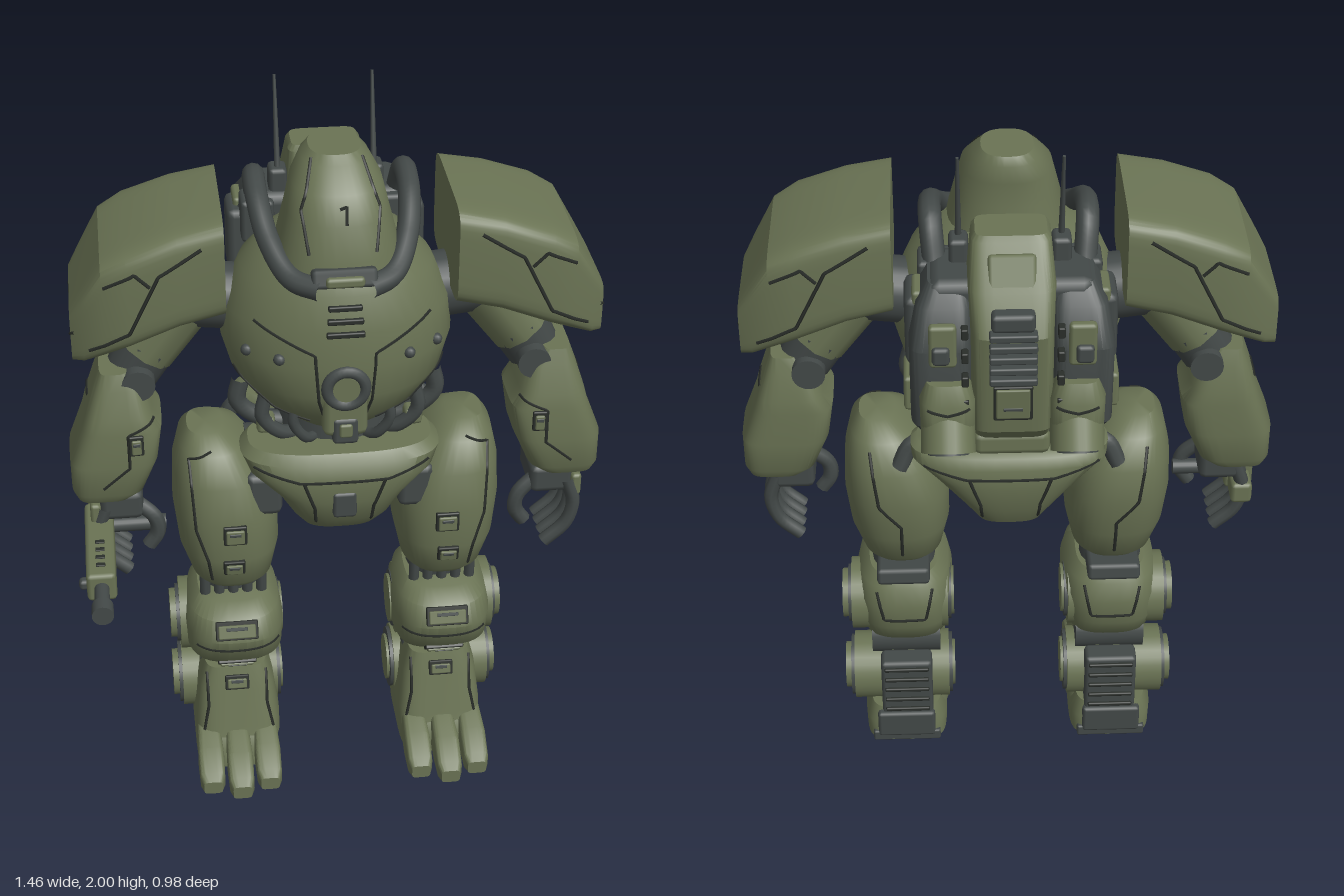
import * as THREE from 'three';
import { toCreasedNormals } from 'three/addons/utils/BufferGeometryUtils.js';
import { RoundedBoxGeometry } from 'three/addons/geometries/RoundedBoxGeometry.js';

const V = (x, y, z) => new THREE.Vector3(x, y, z);
const material = (name, color) => Object.assign(new THREE.MeshStandardMaterial({ color }), { name });

export function createModel() {
  const olive = material('olive armour', 0x6a7354);
  const steel = material('dark frame', 0x434948);
  const black = material('seam black', 0x2a2e2a);
  const root = new THREE.Group();
  root.name = 'walker';

  const add = (parent, name, geo, mat, x = 0, y = 0, z = 0) => {
    const m = new THREE.Mesh(geo, mat);
    m.name = name;
    m.position.set(x, y, z);
    parent.add(m);
    return m;
  };
  const box = (p, name, mat, x, y, z, w, h, d, r = 0.012) =>
    add(p, name, new RoundedBoxGeometry(w, h, d, 1, Math.min(r, w / 3, h / 3, d / 3)), mat, x, y, z);
  // Cylinder between two points
  const rod = (p, name, mat, a, b, r0, r1 = r0, seg = 20) => {
    const m = add(p, name, new THREE.CylinderGeometry(r1, r0, a.distanceTo(b), seg), mat);
    m.position.copy(a).lerp(b, 0.5);
    m.quaternion.setFromUnitVectors(V(0, 1, 0), b.clone().sub(a).normalize());
    return m;
  };
  const tube = (p, name, mat, pts, r, seg = 24, sides = 10) =>
    add(p, name, new THREE.TubeGeometry(new THREE.CatmullRomCurve3(pts), seg, r, sides), mat);

  // Superellipse rings [t, centreA, centreB, halfA, halfB] skinned along an axis
  const loft = (p, name, mat, axis, n, rings, crease = 0.7) => {
    const seg = 40, pos = [], idx = [];
    const put = (t, a, b) => pos.push(...(axis === 'y' ? [a, t, b] : axis === 'x' ? [t, a, b] : [a, b, t]));
    const pw = (c) => Math.sign(c) * Math.abs(c) ** (2 / n);
    for (const [t, a, b, ha, hb] of rings) for (let i = 0; i < seg; i++) {
      const q = ((i + 0.5) / seg) * Math.PI * 2;
      put(t, a + ha * pw(Math.cos(q)), b + hb * pw(Math.sin(q)));
    }
    const last = rings.length - 1, c0 = rings.length * seg;
    put(...rings[0]);
    put(...rings[last]);
    const tri = (a, b, c) => (axis === 'y' ? idx.push(a, c, b) : idx.push(a, b, c));
    for (let i = 0; i < seg; i++) {
      const j = (i + 1) % seg;
      for (let k = 0; k < last; k++) {
        const o = k * seg, u = o + seg;
        tri(o + i, o + j, u + j);
        tri(o + i, u + j, u + i);
      }
      tri(c0, j, i);
      tri(c0 + 1, last * seg + i, last * seg + j);
    }
    const g = new THREE.BufferGeometry();
    g.setAttribute('position', new THREE.Float32BufferAttribute(pos, 3));
    g.setIndex(idx);
    return add(p, name, toCreasedNormals(g, crease), mat);
  };

  // Find a surface point seen from one direction
  const dirs = { front: V(0, 0, 1), back: V(0, 0, -1), side: V(1, 0, 0) };
  const hit = (mesh, dir, u, v) => {
    mesh.updateMatrixWorld();
    const d = dirs[dir], o = (dir === 'side' ? V(0, v, u) : V(u, v, 0)).addScaledVector(d, 2);
    return new THREE.Raycaster(o, d.clone().negate()).intersectObject(mesh)[0];
  };
  // Panel line draped over a part
  const seam = (mesh, dir, path, r = 0.005) => {
    const pts = [];
    for (let i = 0; i < path.length - 1; i++) for (let k = 0; k < 8; k++) {
      const [a, b] = [path[i], path[i + 1]], f = k / 7.5;
      const h = hit(mesh, dir, a[0] + (b[0] - a[0]) * f, a[1] + (b[1] - a[1]) * f);
      if (h) pts.push(h.point);
    }
    if (pts.length > 2) tube(mesh.parent, 'panelLine', black, pts, r, pts.length * 2, 4);
  };
  // Small framed hatch lying on a part
  const hatch = (mesh, dir, u, v, w, h) => {
    const s = hit(mesh, dir, u, v);
    if (!s) return;
    const g = new THREE.Group();
    g.name = 'hatch';
    g.position.copy(s.point);
    g.quaternion.setFromUnitVectors(V(0, 0, 1), s.face.normal);
    mesh.parent.add(g);
    box(g, 'hatchFrame', black, 0, 0, 0, w, h, 0.016, 0.004);
    box(g, 'hatchLid', olive, 0, -0.002, 0.005, w - 0.014, h - 0.016, 0.018, 0.004);
    box(g, 'hatchSlot', steel, 0, h * 0.12, 0.01, w * 0.5, 0.01, 0.012, 0.002);
  };

  // Torso
  const torso = loft(root, 'torso', olive, 'y', 2.1, [
    [1.13, 0, 0.03, 0.1, 0.11], [1.18, 0, 0.03, 0.16, 0.17], [1.24, 0, 0.03, 0.235, 0.225], [1.31, 0, 0.03, 0.285, 0.25],
    [1.4, 0, 0.03, 0.31, 0.255], [1.5, 0, 0.03, 0.3, 0.245], [1.6, 0, 0.03, 0.255, 0.225], [1.66, 0, 0.03, 0.2, 0.19], [1.71, 0, 0.03, 0.12, 0.14]]);
  for (const s of [1, -1]) {
    seam(torso, 'front', [[s * 0.23, 1.51], [s * 0.08, 1.44], [s * 0.07, 1.3], [s * 0.05, 1.22]]);
    seam(torso, 'front', [[s * 0.28, 1.33], [s * 0.18, 1.24], [s * 0.08, 1.2]]);
    for (const x of [0.17, 0.25]) {
      const h = hit(torso, 'front', s * x, 1.42).point;
      add(root, 'chestBolt', new THREE.SphereGeometry(0.016, 10, 8), steel, h.x, h.y, h.z);
    }
  }
  box(root, 'chestHousing', olive, 0, 1.3, 0.25, 0.12, 0.22, 0.06, 0.02);
  add(root, 'chestRing', new THREE.TorusGeometry(0.05, 0.016, 10, 28), steel, 0, 1.345, 0.285);
  rod(root, 'chestPort', olive, V(0, 1.345, 0.26), V(0, 1.345, 0.295), 0.036);
  box(root, 'chestLatch', steel, 0, 1.21, 0.265, 0.07, 0.08, 0.04);
  box(root, 'chestLatchLid', olive, 0, 1.215, 0.282, 0.035, 0.04, 0.02);
  for (let i = 0; i < 3; i++) {
    const y = 1.5 + i * 0.035;
    box(root, 'chestSlot', black, 0, y, hit(torso, 'front', 0, y).point.z, 0.1 - i * 0.006, 0.015, 0.018, 0.004);
  }

  // Head
  const head = loft(root, 'head', olive, 'y', 2.5, [
    [1.6, 0, 0.06, 0.175, 0.175], [1.68, 0, 0.06, 0.158, 0.168], [1.77, 0, 0.055, 0.135, 0.147], [1.84, 0, 0.04, 0.118, 0.13],
    [1.89, 0, 0.005, 0.088, 0.098], [1.912, 0, 0, 0.068, 0.078]]);
  for (const s of [1, -1]) seam(head, 'front', [[s * 0.065, 1.9], [s * 0.1, 1.8], [s * 0.085, 1.69]]);
  seam(head, 'front', [[-0.005, 1.81], [0.012, 1.815], [0.01, 1.77]]);
  box(root, 'jaw', steel, 0, 1.645, 0.235, 0.17, 0.05, 0.05).rotation.x = -0.3;
  box(root, 'jawGuard', olive, 0, 1.645, 0.255, 0.1, 0.028, 0.035);

  // Waist and pelvis: dark core with armour skirts front and back
  rod(root, 'waist', steel, V(0, 1.02, 0), V(0, 1.2, 0), 0.17, 0.16);
  loft(root, 'pelvisCore', steel, 'y', 3, [
    [0.855, 0, 0, 0.1, 0.11], [0.93, 0, 0, 0.14, 0.18], [1.02, 0, 0, 0.2, 0.19], [1.085, 0, 0, 0.23, 0.19]]);
  const frontSkirt = loft(root, 'frontSkirt', olive, 'y', 2.8, [
    [0.845, 0, 0.12, 0.105, 0.075], [0.9, 0, 0.15, 0.135, 0.095], [0.97, 0, 0.165, 0.175, 0.1],
    [1.04, 0, 0.15, 0.25, 0.12], [1.085, 0, 0.125, 0.272, 0.135], [1.11, 0, 0.12, 0.25, 0.115]]);
  const backSkirt = loft(root, 'backSkirt', olive, 'y', 2.8, [
    [0.87, 0, -0.18, 0.085, 0.05], [0.93, 0, -0.185, 0.125, 0.075], [1.01, 0, -0.17, 0.2, 0.1],
    [1.07, 0, -0.155, 0.265, 0.115], [1.1, 0, -0.15, 0.268, 0.105], [1.115, 0, -0.145, 0.25, 0.09]]);
  for (const [skirt, d] of [[frontSkirt, 'front'], [backSkirt, 'back']]) {
    seam(skirt, d, [[-0.24, 1.07], [-0.12, 1.04], [0.12, 1.04], [0.24, 1.07]]);
    for (const s of [1, -1]) seam(skirt, d, [[s * 0.11, 1.04], [s * 0.08, 0.95], [s * 0.075, 0.89]]);
  }
  box(root, 'pelvisLatch', steel, 0, 0.965, 0.258, 0.065, 0.08, 0.03);

  // Backpack core and centre column
  box(root, 'packCore', steel, 0, 1.45, -0.24, 0.42, 0.5, 0.2, 0.03);
  const column = loft(root, 'packColumn', olive, 'y', 6, [
    [1.2, 0, -0.25, 0.09, 0.07], [1.3, 0, -0.28, 0.105, 0.13], [1.6, 0, -0.3, 0.105, 0.145], [1.7, 0, -0.28, 0.11, 0.115],
    [1.8, 0, -0.25, 0.1, 0.065], [1.815, 0, -0.25, 0.09, 0.055]], 0.5);
  box(root, 'packLid', olive, 0, 1.735, -0.355, 0.12, 0.1, 0.03).rotation.x = 0.5;
  hatch(column, 'back', 0, 1.4, 0.1, 0.11);
  box(root, 'packTopBlock', steel, 0, 1.645, -0.425, 0.11, 0.05, 0.05);
  for (let i = 0; i < 5; i++) box(root, 'packVent', steel, 0, 1.485 + i * 0.032, -0.445, 0.12, 0.02, 0.04, 0.005);
  box(root, 'packFoot', olive, 0, 1.23, -0.3, 0.2, 0.07, 0.14, 0.02);

  // Everything paired is built on the left, then mirrored
  const left = new THREE.Group();
  left.name = 'leftSide';
  root.add(left);

  // Backpack pods: dark upper body over an olive nozzle housing
  loft(left, 'packPod', steel, 'y', 5, [
    [1.22, 0.17, -0.24, 0.06, 0.07], [1.3, 0.18, -0.27, 0.08, 0.11], [1.54, 0.18, -0.29, 0.08, 0.115],
    [1.64, 0.17, -0.27, 0.07, 0.095], [1.69, 0.16, -0.255, 0.05, 0.07]], 0.5);
  const housing = loft(left, 'nozzleHousing', olive, 'y', 3.5, [
    [1.2, 0.165, -0.3, 0.06, 0.06], [1.28, 0.165, -0.35, 0.07, 0.09], [1.4, 0.165, -0.36, 0.072, 0.085], [1.45, 0.165, -0.36, 0.055, 0.06]]);
  seam(housing, 'back', [[0.11, 1.39], [0.165, 1.375], [0.22, 1.39]]);
  box(left, 'podPlate', olive, 0.175, 1.56, -0.4, 0.07, 0.12, 0.03);
  box(left, 'podBlock', steel, 0.18, 1.54, -0.415, 0.045, 0.05, 0.03);
  box(left, 'podSide', steel, 0.24, 1.54, -0.24, 0.06, 0.2, 0.14, 0.025);
  box(left, 'podFin', olive, 0.262, 1.36, -0.26, 0.03, 0.1, 0.12);
  box(left, 'podTopTrim', olive, 0.235, 1.63, -0.26, 0.03, 0.06, 0.1);
  rod(left, 'nozzle', olive, V(0.165, 1.37, -0.36), V(0.165, 1.255, -0.43), 0.068, 0.07, 24);
  rod(left, 'nozzleMouth', steel, V(0.165, 1.265, -0.424), V(0.165, 1.25, -0.433), 0.053, 0.053, 24);
  for (let i = 0; i < 4; i++) box(left, 'podClip', black, 0.12, 1.4 + i * 0.07, -0.42, 0.018, 0.03, 0.03, 0.004);
  box(left, 'antennaBase', steel, 0.13, 1.72, -0.2, 0.05, 0.08, 0.07);
  rod(left, 'antenna', steel, V(0.13, 1.72, -0.185), V(0.13, 2, -0.245), 0.009, 0.004, 8);

  // Neck hose and waist hoses
  tube(left, 'neckHose', steel, [V(0.19, 1.66, -0.2), V(0.2, 1.77, -0.13), V(0.2, 1.76, -0.02), V(0.18, 1.69, 0.1), V(0.13, 1.63, 0.2), V(0.06, 1.62, 0.25)], 0.03, 40, 12);
  box(left, 'hoseSocket', steel, 0.19, 1.63, -0.17, 0.09, 0.12, 0.1);
  for (const [x, z, r] of [[0.26, 0.06, 0.025], [0.2, 0.15, 0.02], [0.22, -0.1, 0.025], [0.12, 0.19, 0.015]])
    tube(left, 'waistHose', steel, [V(x, 1.26, z), V(x + 0.01, 1.19, z), V(x * 0.8, 1.13, z * 0.9), V(x * 0.55, 1.11, z * 0.7)], r, 16, 8);
  box(left, 'waistClamp', olive, 0.2, 1.16, 0.13, 0.05, 0.05, 0.05);

  // Shoulder pad
  const pad = loft(left, 'shoulderPad', olive, 'x', 7, [
    [0.3, 1.655, 0, 0.135, 0.205], [0.42, 1.63, 0, 0.137, 0.21], [0.55, 1.583, 0, 0.14, 0.213],
    [0.615, 1.55, -0.002, 0.135, 0.2], [0.67, 1.488, -0.005, 0.1, 0.175], [0.702, 1.455, -0.01, 0.075, 0.15]], 0.45);
  for (const d of ['front', 'back']) {
    seam(pad, d, [[0.655, 1.44], [0.55, 1.5], [0.52, 1.56], [0.47, 1.66], [0.35, 1.735]]);
    seam(pad, d, [[0.61, 1.63], [0.53, 1.67], [0.49, 1.63]]);
  }
  seam(pad, 'side', [[0.15, 1.48], [0.05, 1.42], [-0.1, 1.43], [-0.14, 1.48]]);

  // Arm
  rod(left, 'shoulderJoint', steel, V(0.25, 1.48, 0), V(0.42, 1.5, 0), 0.09);
  rod(left, 'upperArm', olive, V(0.37, 1.53, 0), V(0.515, 1.34, 0), 0.09, 0.088, 10);
  rod(left, 'elbowCuff', steel, V(0.5, 1.36, 0), V(0.55, 1.27, 0), 0.085, 0.075, 16);
  rod(left, 'elbowAxle', steel, V(0.535, 1.28, -0.1), V(0.535, 1.28, 0.11), 0.045);
  const forearm = loft(left, 'forearm', olive, 'y', 4.5, [
    [0.93, 0.645, 0.025, 0.075, 0.105], [0.96, 0.632, 0.025, 0.1, 0.122], [1.05, 0.612, 0.025, 0.12, 0.126], [1.15, 0.585, 0.022, 0.108, 0.125],
    [1.19, 0.592, 0.02, 0.09, 0.12], [1.27, 0.59, 0.015, 0.065, 0.1], [1.315, 0.6, 0.015, 0.038, 0.085]]);
  seam(forearm, 'front', [[0.5, 1.18], [0.57, 1.15], [0.57, 1.05], [0.65, 0.98]]);
  seam(forearm, 'side', [[0.04, 1.22], [-0.06, 1.215]]);
  hatch(forearm, 'front', 0.55, 1.12, 0.04, 0.06);

  // Hand
  box(left, 'palm', steel, 0.6, 0.905, 0.04, 0.12, 0.09, 0.17, 0.02);
  box(left, 'knucklePlate', olive, 0.672, 0.88, 0.1, 0.03, 0.07, 0.05);
  for (let i = 0; i < 4; i++) {
    const z = -0.025 + i * 0.046;
    tube(left, 'finger', steel, [V(0.645, 0.9, z), V(0.668, 0.82, z), V(0.65, 0.75, z), V(0.59, 0.69, z)], 0.02, 16, 8);
  }
  tube(left, 'thumb', steel, [V(0.56, 0.9, 0.09), V(0.51, 0.85, 0.1), V(0.505, 0.8, 0.1), V(0.53, 0.76, 0.1)], 0.022, 14, 8);

  // Thigh and hip
  rod(left, 'hipJoint', steel, V(0.1, 0.96, 0), V(0.25, 0.96, 0), 0.1);
  box(left, 'hipActuator', steel, 0.21, 0.94, 0.12, 0.1, 0.13, 0.1, 0.02);
  tube(left, 'hipHose', steel, [V(0.15, 1.06, -0.14), V(0.26, 1.07, -0.13), V(0.3, 1, -0.14)], 0.025, 14, 8);
  const thigh = loft(left, 'thigh', olive, 'y', 2.6, [
    [0.63, 0.3, 0.03, 0.09, 0.12], [0.66, 0.3, 0.03, 0.115, 0.15], [0.75, 0.305, 0.025, 0.14, 0.175], [0.87, 0.312, 0.015, 0.146, 0.185],
    [0.98, 0.325, 0.01, 0.128, 0.175], [1.06, 0.345, 0.01, 0.09, 0.13], [1.1, 0.36, 0.01, 0.05, 0.07]]);
  seam(thigh, 'front', [[0.35, 1.07], [0.41, 1.05], [0.405, 0.95], [0.4, 0.85], [0.37, 0.75], [0.36, 0.67]]);
  seam(thigh, 'back', [[0.38, 1.04], [0.36, 0.88], [0.3, 0.8], [0.3, 0.67]]);
  hatch(thigh, 'front', 0.295, 0.84, 0.065, 0.06);
  hatch(thigh, 'front', 0.3, 0.73, 0.06, 0.05);

  // Knee
  rod(left, 'kneeCore', steel, V(0.3, 0.53, 0), V(0.3, 0.66, 0.02), 0.09);
  for (let i = 0; i < 5; i++) rod(left, 'kneeCable', steel, V(0.22 + i * 0.04, 0.55, 0.1), V(0.22 + i * 0.04, 0.66, 0.11), 0.015, 0.015, 8);
  box(left, 'kneeFlap', steel, 0.3, 0.61, -0.1, 0.15, 0.05, 0.11).rotation.x = 0.15;
  const shin = loft(left, 'kneeArmour', olive, 'y', 3, [
    [0.32, 0.3, 0.01, 0.09, 0.08], [0.35, 0.3, 0.02, 0.12, 0.12], [0.41, 0.3, 0.04, 0.138, 0.17], [0.49, 0.3, 0.05, 0.14, 0.185],
    [0.55, 0.3, 0.045, 0.128, 0.165], [0.58, 0.3, 0.03, 0.1, 0.125]]);
  hatch(shin, 'front', 0.3, 0.525, 0.12, 0.055);
  hatch(shin, 'front', 0.3, 0.385, 0.11, 0.045);
  seam(shin, 'front', [[0.18, 0.46], [0.3, 0.455], [0.42, 0.46]]);
  seam(shin, 'back', [[0.22, 0.54], [0.24, 0.44], [0.36, 0.44], [0.38, 0.54]]);

  // Ankle and wheel-like hubs
  const ankle = loft(left, 'ankleArmour', olive, 'y', 4.5, [
    [0.08, 0.3, 0.04, 0.125, 0.15], [0.13, 0.3, 0.035, 0.125, 0.14], [0.25, 0.3, 0.03, 0.11, 0.12], [0.32, 0.3, 0.03, 0.09, 0.1]]);
  for (const x of [0.215, 0.385]) seam(ankle, 'front', [[x, 0.3], [x, 0.2], [x + (x - 0.3) * 0.2, 0.11]]);
  hatch(ankle, 'front', 0.3, 0.275, 0.07, 0.045);
  rod(left, 'ankleJoint', steel, V(0.2, 0.32, -0.02), V(0.4, 0.32, -0.02), 0.07);
  for (const [y, z, r, ring, centre] of [[0.44, 0.005, 0.105, 0.8, 0.68], [0.19, -0.03, 0.1, 0.9, 0.68]]) {
    rod(left, 'hub', olive, V(0.175, y, z), V(0.455, y, z), r, r, 28);
    rod(left, 'hubRing', steel, V(0.165, y, z), V(0.465, y, z), r * ring, r * ring, 28);
    rod(left, 'hubCentre', olive, V(0.157, y, z), V(0.482, y, z), r * centre, r * centre, 28);
  }
  box(left, 'calfVent', steel, 0.3, 0.2, -0.125, 0.15, 0.2, 0.07);
  for (let i = 0; i < 5; i++) box(left, 'calfSlat', black, 0.3, 0.125 + i * 0.038, -0.158, 0.13, 0.012, 0.02, 0.004);

  // Foot and toes
  loft(left, 'foot', olive, 'y', 5, [[0.005, 0.305, 0.02, 0.12, 0.185], [0.07, 0.305, 0.02, 0.122, 0.185], [0.12, 0.305, 0.01, 0.105, 0.16]]);
  box(left, 'heelSole', steel, 0.305, 0.018, -0.08, 0.2, 0.036, 0.17, 0.006);
  box(left, 'heel', steel, 0.305, 0.065, -0.155, 0.17, 0.09, 0.03);
  for (const [x, z] of [[0.222, 0.32], [0.305, 0.35], [0.388, 0.32]])
    loft(left, 'toe', olive, 'z', 5, [
      [0.13, x, 0.068, 0.034, 0.062], [z - 0.09, x, 0.055, 0.038, 0.05], [z - 0.025, x, 0.036, 0.036, 0.031], [z, x, 0.03, 0.027, 0.021]], 0.4);

  const right = left.clone();
  right.name = 'rightSide';
  right.scale.x = -1;
  root.add(right);

  // Hand gun
  const gx = -0.665, gy = 0.82;
  box(root, 'gunBody', olive, gx, gy, 0.2, 0.08, 0.085, 0.35, 0.012);
  box(root, 'gunStock', olive, gx, gy - 0.01, 0, 0.06, 0.065, 0.1);
  box(root, 'gunSight', steel, gx - 0.045, gy, 0.345, 0.03, 0.03, 0.03);
  rod(root, 'gunBarrel', steel, V(gx, gy, 0.37), V(gx, gy, 0.46), 0.02);
  rod(root, 'gunMuzzle', steel, V(gx, gy, 0.45), V(gx, gy, 0.495), 0.029);
  rod(root, 'gunGrip', steel, V(gx, gy, 0.08), V(-0.48, gy, 0.08), 0.022);
  for (let i = 0; i < 4; i++) box(root, 'gunSlot', black, gx, gy + 0.042, 0.22 + i * 0.035, 0.025, 0.008, 0.015, 0.002);

  return root;
}
